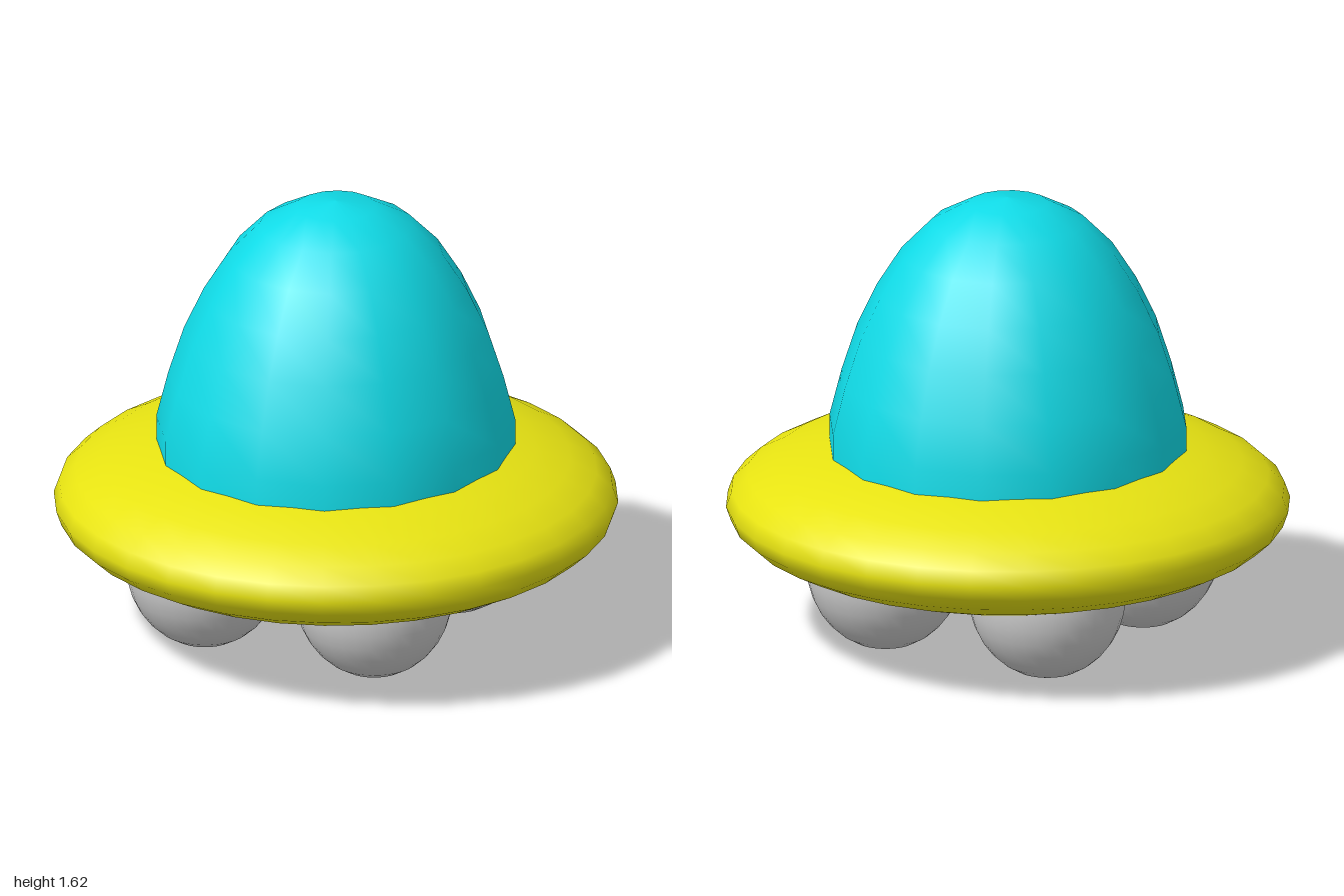
import * as THREE from 'three';

export function createModel() {
  const model = new THREE.Group();

  const add = (name, geometry, color, position, scale) => {
    const mesh = new THREE.Mesh(geometry, new THREE.MeshStandardMaterial({ color }));
    mesh.name = name;
    mesh.position.set(...position);
    mesh.scale.set(...scale);
    model.add(mesh);
  };

  // Flattened saucer body
  add('saucer', new THREE.SphereGeometry(1, 32, 16), 0xe7e312, [0, 0.498, 0], [1, 0.278, 1]);

  // Tall tapered dome, slightly deeper than wide, its foot sunk into the saucer
  const profile = [
    [0.633, 0.6], [0.633, 0.8], [0.59, 0.97], [0.535, 1.14], [0.465, 1.29],
    [0.377, 1.43], [0.27, 1.54], [0.14, 1.61], [0, 1.63],
  ].map(([r, y]) => new THREE.Vector2(r, y));
  add('dome', new THREE.LatheGeometry(profile, 16), 0x10dbe7, [0, 0, 0], [1, 1, 1.033]);

  // Four rounded feet bulging from the underside
  const footGeometry = new THREE.SphereGeometry(1, 32, 16);
  for (const [side, x] of [['right', -0.355], ['left', 0.308]]) {
    for (const [end, z] of [['Front', 0.336], ['Back', -0.334]]) {
      add(`${side}${end}Foot`, footGeometry, 0xcccccc, [x, 0.305, z], [0.28, 0.3, 0.277]);
    }
  }

  return model;
}
